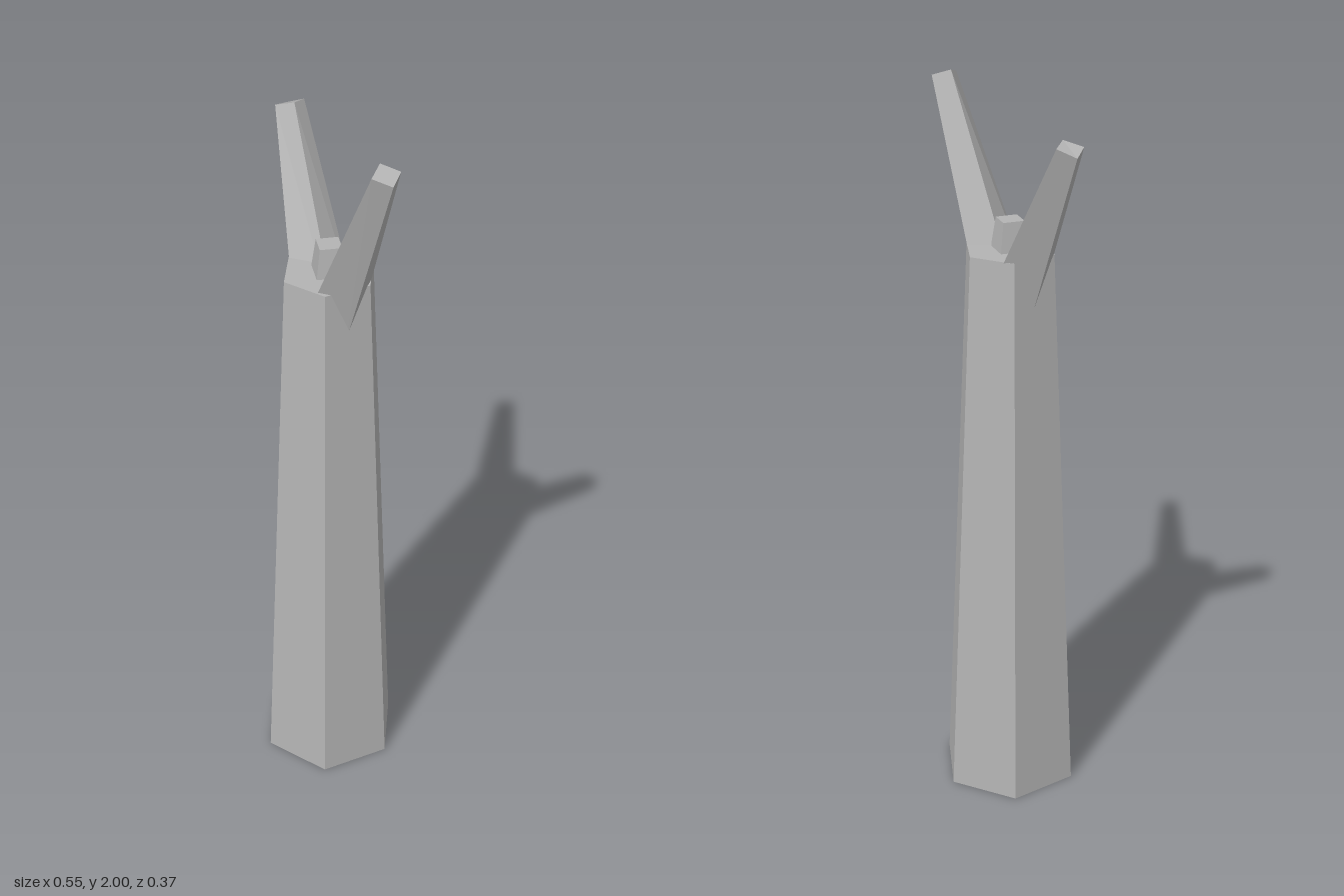
import * as THREE from 'three';

const V = (p) => new THREE.Vector3(...p);

// Four-sided tapering branch: each edge runs from a tip corner through a point
// near the trunk top and on to baseY, hidden inside the trunk.
function branchGeometry(tip, through, baseY) {
  const top = tip.map(V);
  const base = through.map((p, i) => {
    const q = V(p);
    return top[i].clone().lerp(q, (top[i].y - baseY) / (top[i].y - q.y));
  });
  const pos = [];
  const quad = (a, b, c, d) => [a, b, c, a, c, d].forEach((v) => pos.push(v.x, v.y, v.z));
  for (let i = 0; i < 4; i++) {
    const j = (i + 1) % 4;
    quad(top[j], base[j], base[i], top[i]);
  }
  quad(top[0], top[3], top[2], top[1]);
  quad(base[0], base[1], base[2], base[3]);
  const geo = new THREE.BufferGeometry();
  geo.setAttribute('position', new THREE.Float32BufferAttribute(pos, 3));
  geo.computeVertexNormals();
  return geo;
}

export function createModel() {
  const group = new THREE.Group();
  const grey = new THREE.MeshStandardMaterial({ color: 0xb4b4b4, flatShading: true, side: THREE.DoubleSide });
  grey.name = 'grey';
  const cx = -0.011, cz = 0.014, trunkHeight = 1.58;

  const add = (name, geo, x = 0, y = 0, z = 0) => {
    const mesh = new THREE.Mesh(geo, grey);
    mesh.name = name;
    mesh.position.set(x, y, z);
    group.add(mesh);
  };

  // Hexagonal trunk, open underneath, with a flat top
  add('trunk', new THREE.CylinderGeometry(0.126, 0.197, trunkHeight, 6, 1, true, Math.PI / 2), cx, trunkHeight / 2, cz);
  add('trunkTop', new THREE.CircleGeometry(0.126, 6).rotateX(-Math.PI / 2), cx, trunkHeight, cz);

  // Small square stub in the middle of the top
  add('stub', new THREE.CylinderGeometry(0.041, 0.055, 0.08, 4), cx, 1.62, cz);

  // Two forked branches
  add('leftBranch', branchGeometry(
    [[0.214, 2.0, 0.132], [0.262, 1.985, 0.115], [0.274, 1.97, 0.166], [0.225, 1.985, 0.184]],
    [[0.015, 1.58, 0.02], [0.1, 1.58, -0.013], [0.09, 1.47, 0.07], [0.026, 1.58, 0.117]], 1.42));
  add('rightBranch', branchGeometry(
    [[-0.221, 1.93, -0.137], [-0.272, 1.915, -0.124], [-0.277, 1.9, -0.177], [-0.226, 1.92, -0.187]],
    [[-0.037, 1.58, -0.007], [-0.134, 1.58, 0.017], [-0.15, 1.56, -0.08], [-0.045, 1.58, -0.096]], 1.42));

  return group;
}
